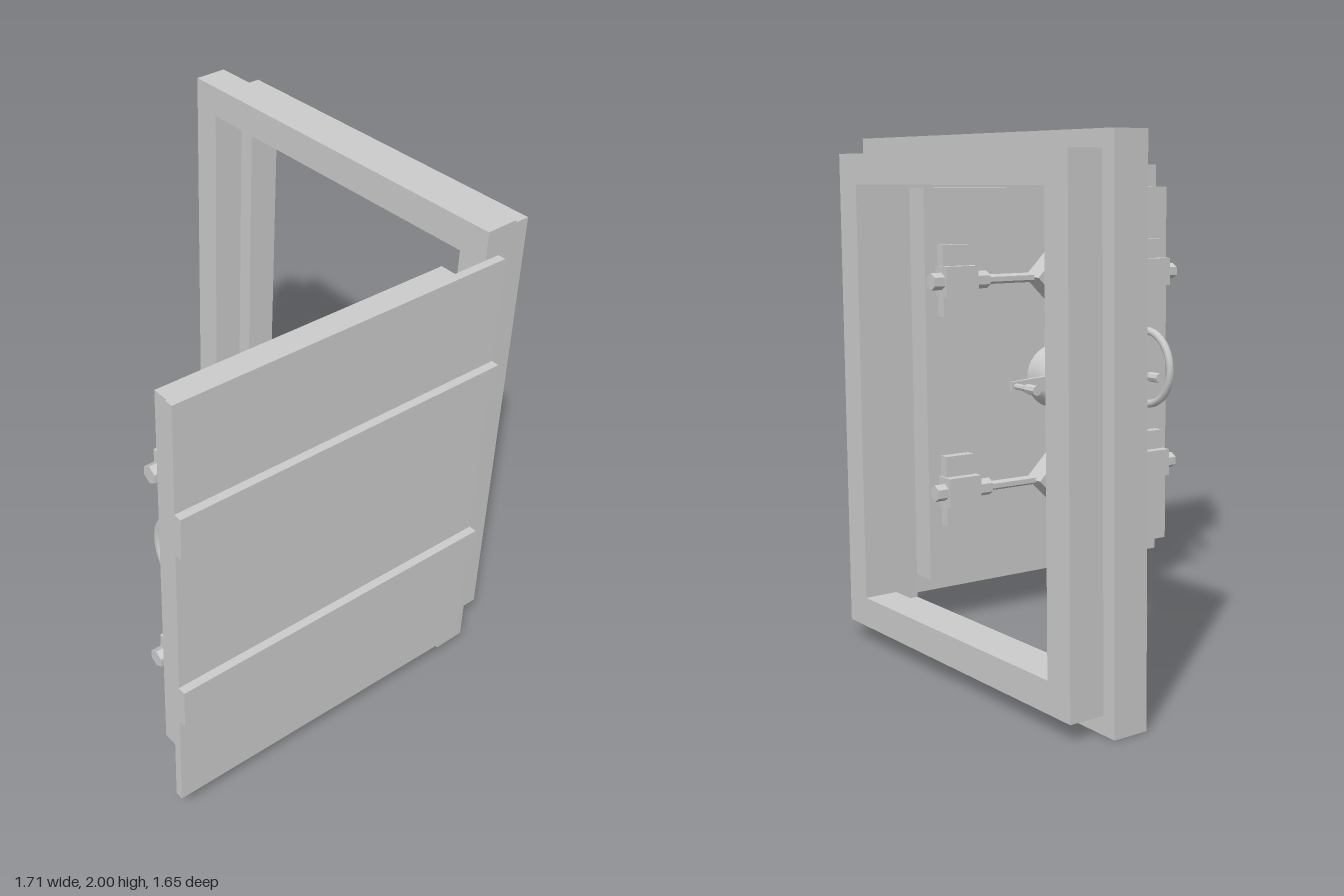
import * as THREE from 'three';
import { toCreasedNormals } from 'three/addons/utils/BufferGeometryUtils.js';

const flat = new THREE.MeshStandardMaterial({ color: 0xcccccc, flatShading: true });
const smooth = new THREE.MeshStandardMaterial({ color: 0xcccccc });

function add(parent, name, geo, x = 0, y = 0, z = 0, mat = flat) {
  const m = new THREE.Mesh(geo, mat);
  m.name = name;
  m.position.set(x, y, z);
  parent.add(m);
  return m;
}

// box given by its limits on each axis
function box(parent, name, [x0, x1], [y0, y1], [z0, z1]) {
  return add(parent, name, new THREE.BoxGeometry(x1 - x0, y1 - y0, z1 - z0),
    (x0 + x1) / 2, (y0 + y1) / 2, (z0 + z1) / 2);
}

// polygon with a hole, extruded along z
function ringPrism(outer, inner, depth) {
  const vec = (list) => list.map(([x, y]) => new THREE.Vector2(x, y));
  const shape = new THREE.Shape(vec(outer));
  shape.holes.push(new THREE.Path(vec(inner)));
  return new THREE.ExtrudeGeometry(shape, { depth, bevelEnabled: false });
}

const rect = (x, y) => [[-x, -y], [x, -y], [x, y], [-x, y]];
const diamond = (r) => [[-r, 0], [0, -r], [r, 0], [0, r]];

// solid of revolution pointing away from the inner door face (toward -x)
function turned(points, sides) {
  const g = new THREE.LatheGeometry(points.map(([r, h]) => new THREE.Vector2(r, h)), sides);
  return g.rotateZ(Math.PI / 2);
}

// hexagonal rod along z
const rodZ = (r, length) => new THREE.CylinderGeometry(r, r, length, 6).rotateX(Math.PI / 2);

const FACE = -0.18;   // inner face of the door slab
const ROD = -0.227;   // axis of the locking rods

function buildDoor() {
  const door = new THREE.Group();
  door.name = 'door';

  // panel, slab and reinforcing straps
  box(door, 'doorPlate', [0, 0.033], [-0.905, 0.905], [-0.703, 0.703]);
  box(door, 'doorSlab', [FACE, 0], [-0.805, 0.805], [-0.62, 0.62]);
  for (const s of [-1, 1]) {
    box(door, 'strap', [0.033, 0.066], [s * 0.395 - 0.085, s * 0.395 + 0.085], [-0.704, 0.704]);
  }

  // central gear housing
  const housing = turned([[0.135, 0.17], [0.135, 0.26], [0.13, 0.285], [0.115, 0.305],
    [0.085, 0.325], [0.045, 0.328], [0.03, 0.33], [0, 0.33]], 32);
  add(door, 'gearHousing', toCreasedNormals(housing, 0.6), 0, 0, 0, smooth);

  // crank hub and shaft
  add(door, 'crankHub', turned([[0.025, 0.32], [0.025, 0.338], [0.047, 0.338], [0.047, 0.39],
    [0.022, 0.39], [0.022, 0.405], [0, 0.405]], 12));

  // crank bar, tapering toward both ends
  const bar = new THREE.BoxGeometry(0.034, 0.08, 0.67, 1, 1, 2);
  const p = bar.attributes.position;
  for (let i = 0; i < p.count; i++) {
    if (Math.abs(p.getZ(i)) < 0.1) continue;
    p.setY(i, p.getY(i) * 0.5);
    if (p.getX(i) > 0) p.setX(i, -0.004);
  }
  add(door, 'crankBar', bar, -0.355, 0, 0);
  for (const s of [-1, 1]) {
    add(door, 'crankGrip', turned([[0, 0.355], [0.013, 0.355], [0.013, 0.43], [0.021, 0.46],
      [0.021, 0.525], [0, 0.525]], 8), 0, 0, s * 0.313);
  }

  // locking linkage, mirrored above and below
  for (const v of [-1, 1]) {
    const y = v * 0.432;
    const link = new THREE.Group();
    link.name = v > 0 ? 'upperLinkage' : 'lowerLinkage';
    link.position.y = y;
    door.add(link);

    // diamond-shaped open yoke
    const yoke = add(link, 'diamondYoke', ringPrism(diamond(0.142), diamond(0.08), 0.105), FACE);
    yoke.rotation.y = -Math.PI / 2;

    // vertical rod and its sleeve
    add(link, 'verticalRod', new THREE.BoxGeometry(0.038, 0.24, 0.06), ROD, -v * 0.21, 0);
    add(link, 'rodSleeve', new THREE.BoxGeometry(0.075, 0.125, 0.09), FACE - 0.037, -v * 0.285, 0);

    // horizontal rods ending in bolts
    for (const s of [-1, 1]) {
      add(link, 'horizontalRod', rodZ(0.02, 0.33), ROD, 0, s * 0.28);
      add(link, 'boltCollar', rodZ(0.036, 0.07), ROD, 0, s * 0.395);
      add(link, 'bolt', rodZ(0.035, 0.2), ROD, 0, s * 0.52);
      add(link, 'boltGuide', new THREE.BoxGeometry(0.088, 0.12, 0.15), FACE - 0.044, 0, s * 0.497);
      add(link, 'guidePlate', new THREE.BoxGeometry(0.045, 0.29, 0.13), FACE - 0.0225, 0, s * 0.497);
    }
  }

  // pull handle near the free edge
  const pull = new THREE.TorusGeometry(0.165, 0.018, 8, 20, Math.PI);
  add(door, 'pullHandle', pull.rotateZ(Math.PI / 2), FACE - 0.015, 0, 0.502, smooth);
  for (const s of [-1, 1]) {
    const foot = new THREE.CylinderGeometry(0.018, 0.018, 0.03, 8).rotateZ(Math.PI / 2);
    add(door, 'pullHandleFoot', foot, FACE - 0.005, s * 0.165, 0.502, smooth);
  }

  door.position.set(0.768, 1.003, 0.117);
  door.rotation.y = -0.025;
  return door;
}

export function createModel() {
  const model = new THREE.Group();
  model.name = 'vaultDoor';

  // stepped door frame
  add(model, 'frontFrame', ringPrism(rect(0.81, 1), rect(0.69, 0.875), 0.137), -0.047, 1, -0.686);
  add(model, 'backFrame', ringPrism(rect(0.75, 0.935), rect(0.622, 0.818), 0.137), -0.047, 1.003, -0.823);

  // door standing open
  model.add(buildDoor());
  return model;
}
